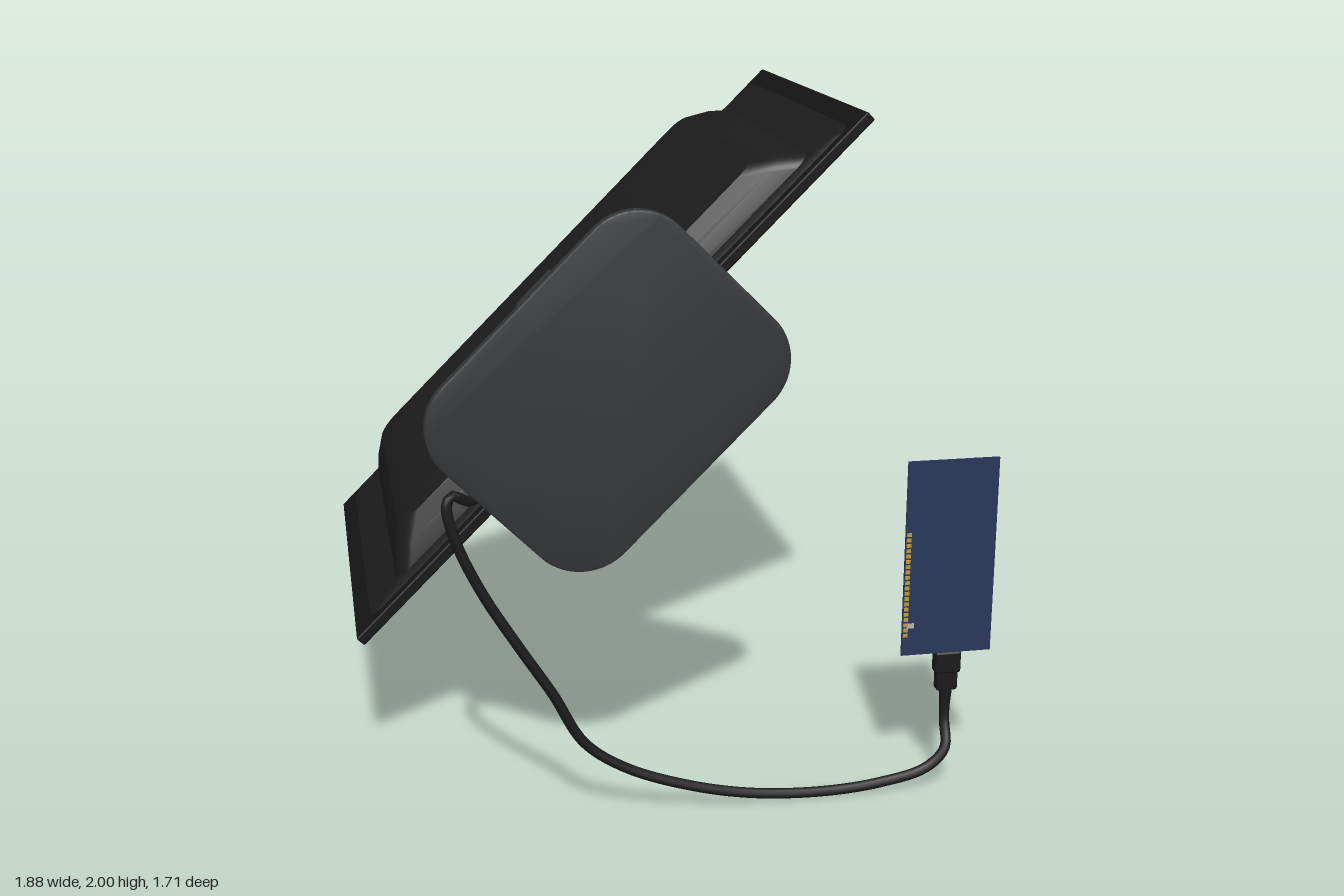
import * as THREE from 'three';
import { toCreasedNormals } from 'three/addons/utils/BufferGeometryUtils.js';
import { RoundedBoxGeometry } from 'three/addons/geometries/RoundedBoxGeometry.js';

const mat = (color, side = THREE.FrontSide) => new THREE.MeshStandardMaterial({ color, side });
const black = mat(0x151515), shell = mat(0x1c1c1c), standGrey = mat(0x323436);
const rubber = mat(0x1a1a1a), metal = mat(0xb4b4b4), gold = mat(0xc09a3e);

function add(parent, name, geometry, material, x = 0, y = 0, z = 0) {
  const mesh = new THREE.Mesh(geometry, material);
  mesh.name = name;
  mesh.position.set(x, y, z);
  parent.add(mesh);
  return mesh;
}
const box = (w, h, d) => new THREE.BoxGeometry(w, h, d);

// Rounded rectangle centred on the origin
function roundedRect(w, h, r) {
  const s = new THREE.Shape(), a = w / 2 - r, b = h / 2 - r;
  s.absarc(a, b, r, 0, Math.PI / 2);
  s.absarc(-a, b, r, Math.PI / 2, Math.PI);
  s.absarc(-a, -b, r, Math.PI, Math.PI * 1.5);
  s.absarc(a, -b, r, Math.PI * 1.5, Math.PI * 2);
  s.closePath();
  return s;
}

// Shell lofted through rounded rectangles [half length, half width, height, corner radius]
function loftShell(rings) {
  const corner = 8, n = corner * 4, pos = [], index = [];
  for (const [hx, hz, y, r] of rings) {
    for (let j = 0; j < n; j++) {
      const q = Math.floor(j / corner);
      const a = (q + (j % corner) / (corner - 1)) * Math.PI / 2;
      const sx = q === 0 || q === 3 ? 1 : -1, sz = q < 2 ? 1 : -1;
      pos.push(sx * (hx - r) + r * Math.cos(a), y, sz * (hz - r) + r * Math.sin(a));
    }
  }
  for (let i = 0; i < rings.length - 1; i++) {
    for (let j = 0; j < n; j++) {
      const k = (j + 1) % n;
      const a = i * n + j, b = i * n + k, c = (i + 1) * n + k, d = (i + 1) * n + j;
      index.push(a, d, c, a, c, b);
    }
  }
  // closing cap
  const last = (rings.length - 1) * n;
  for (let j = 1; j < n - 1; j++) index.push(last, last + j + 1, last + j);
  const g = new THREE.BufferGeometry();
  g.setAttribute('position', new THREE.Float32BufferAttribute(pos, 3));
  g.setIndex(index);
  return toCreasedNormals(g, 0.5);
}

// Monitor and stand, tilted 45 degrees: x along the panel, y towards its back, z down to the foot
function createMonitor() {
  const g = new THREE.Group();
  g.name = 'monitor';
  g.rotation.z = Math.PI / 4;
  const cx = 0.748, cz = -0.21;

  add(g, 'panelFrame', new RoundedBoxGeometry(2.205, 0.034, 1.29, 2, 0.006), black, cx, 0.966, cz);
  add(g, 'screen', box(2.15, 0.004, 1.235), mat(0x080909), cx, 0.948, cz);
  add(g, 'backHousing', loftShell([
    [1.04, 0.61, 0.98, 0.04],
    [1.03, 0.60, 0.99, 0.05],
    [0.90, 0.585, 1.00, 0.06],
    [0.85, 0.57, 1.05, 0.07],
    [0.78, 0.54, 1.10, 0.08],
    [0.70, 0.50, 1.108, 0.08],
    [0.40, 0.36, 1.125, 0.08],
    [0.15, 0.15, 1.135, 0.06],
  ]), shell, cx, 0, cz);

  // Stand
  add(g, 'standArm', new RoundedBoxGeometry(0.17, 0.056, 1.12, 3, 0.012), standGrey, cx, 1.147, 0.265);
  const foot = new THREE.ExtrudeGeometry(roundedRect(0.93, 0.71, 0.165), {
    depth: 0.025, bevelThickness: 0.005, bevelSize: 0.005, bevelSegments: 2, curveSegments: 12,
  });
  add(g, 'standFoot', toCreasedNormals(foot, 0.6), standGrey, cx, 1.075, 0.82);

  // Cable plug at the lower edge of the housing
  add(g, 'monitorPlug', new RoundedBoxGeometry(0.06, 0.04, 0.09, 2, 0.01), rubber, 0.375, 1.04, 0.395);
  return g;
}

function createCable() {
  const points = [
    [-0.47, 1.0, 0.42], [-0.475, 1.005, 0.5], [-0.5, 1.01, 0.6], [-0.56, 1.0, 0.72], [-0.625, 0.99, 0.805],
    [-0.675, 1.015, 0.828], [-0.69, 0.99, 0.835], [-0.67, 0.89, 0.84], [-0.6, 0.73, 0.84], [-0.5, 0.56, 0.84],
    [-0.4, 0.4, 0.84], [-0.31, 0.24, 0.84], [-0.19, 0.15, 0.84], [0, 0.075, 0.84], [0.2, 0.03, 0.84],
    [0.42, 0.016, 0.84], [0.6, 0.03, 0.84], [0.74, 0.065, 0.838], [0.8, 0.12, 0.828], [0.808, 0.2, 0.79],
    [0.81, 0.32, 0.782],
  ].map((p) => new THREE.Vector3(...p));
  return new THREE.TubeGeometry(new THREE.CatmullRomCurve3(points), 160, 0.0155, 10);
}

// Circuit board standing upright, its components on the rear face
function createBoard() {
  const g = new THREE.Group();
  g.name = 'circuitBoard';
  add(g, 'boardPlate', box(0.28, 0.61, 0.006), mat(0x27365a), 0.8, 0.725, 0.795);

  // Edge contacts
  for (let i = 0; i < 20; i++) {
    add(g, 'contactPin', box(0.014, 0.011, 0.012), gold, 0.67, 0.485 + i * 0.0168, 0.795);
  }
  add(g, 'button', box(0.022, 0.016, 0.018), metal, 0.685, 0.515, 0.79);

  // Finned heat sink
  add(g, 'heatSinkBase', box(0.17, 0.17, 0.012), mat(0x303234), 0.8, 0.765, 0.787);
  for (let i = 0; i < 10; i++) {
    add(g, 'heatSinkFin', box(0.17, 0.007, 0.034), mat(0x8a8c8e), 0.8, 0.684 + i * 0.018, 0.767);
  }

  // Socket and cable plug
  add(g, 'socket', box(0.06, 0.055, 0.026), metal, 0.81, 0.445, 0.782);
  add(g, 'boardPlug', new RoundedBoxGeometry(0.08, 0.07, 0.042, 2, 0.008), rubber, 0.81, 0.387, 0.782);
  add(g, 'plugGrip', new RoundedBoxGeometry(0.066, 0.07, 0.036, 2, 0.008), rubber, 0.81, 0.33, 0.782);
  add(g, 'strainRelief', new THREE.CylinderGeometry(0.021, 0.016, 0.06, 12), rubber, 0.81, 0.275, 0.783);
  return g;
}

export function createModel() {
  const model = new THREE.Group();
  model.name = 'monitorWithBoard';
  model.add(createMonitor(), createBoard());
  add(model, 'cable', createCable(), rubber);
  return model;
}
